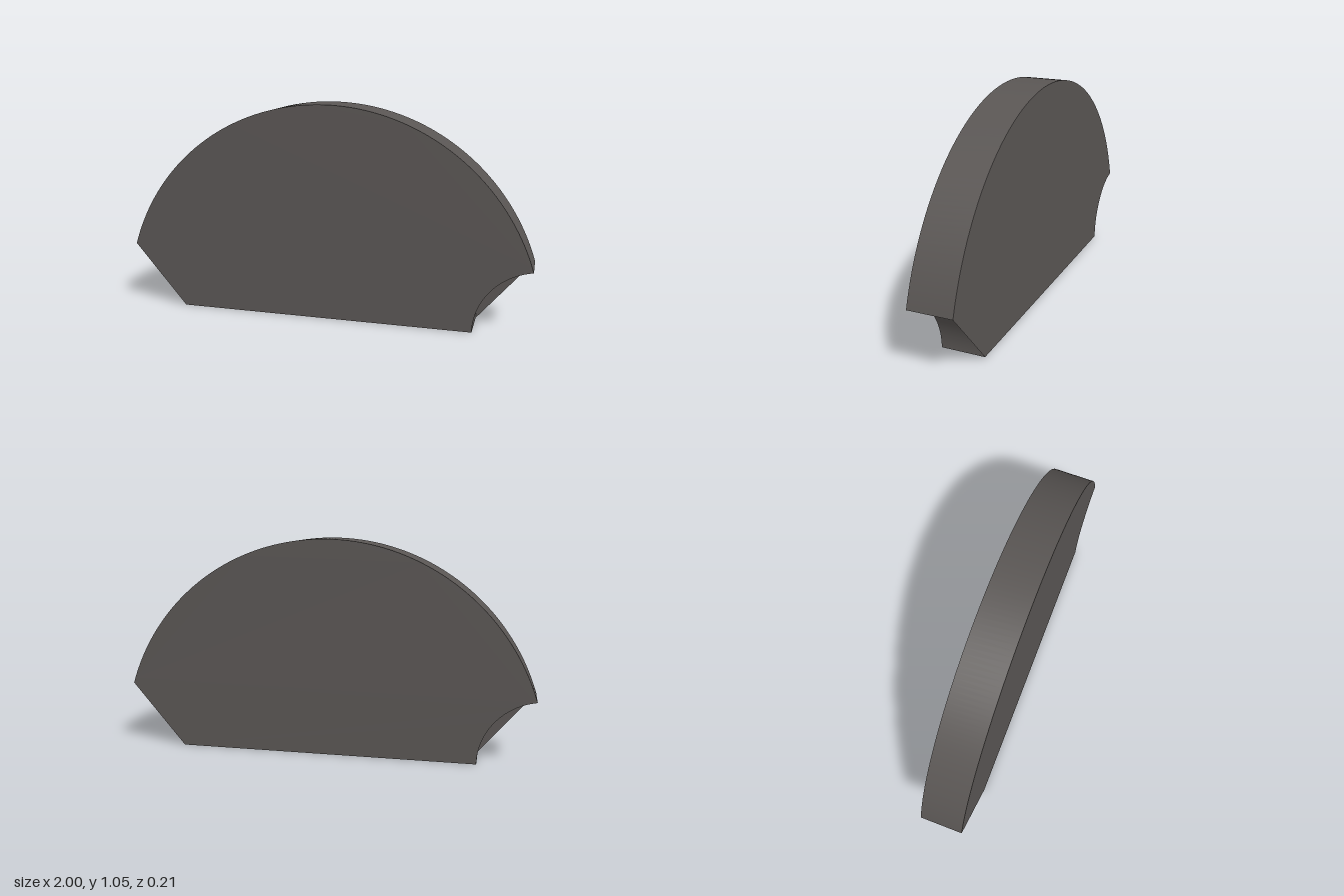
import * as THREE from 'three';
import { toCreasedNormals } from 'three/addons/utils/BufferGeometryUtils.js';

const R = 1.047;          // radius of the domed edge, centred on the base line
const r = 0.315;          // radius of the corner notches, centred on the dome circle
const DEPTH = 0.21;
const a = 2 * Math.asin(r / (2 * R));   // dome angle at which the notch begins
const top = new THREE.Vector2(R * Math.cos(a), R * Math.sin(a));
const notchAngle = Math.atan2(top.y, top.x - R);

export function createModel() {
  const group = new THREE.Group();
  group.name = 'domedPlate';
  const material = new THREE.MeshStandardMaterial({ color: 0x5a5654, side: THREE.DoubleSide });
  material.name = 'warm dark grey';

  // Half-disc slab with a round notch at each lower corner
  const outline = new THREE.Shape();
  outline.moveTo(r - R, 0);
  outline.lineTo(R - r, 0);
  outline.absarc(R, 0, r, Math.PI, notchAngle, true);
  outline.absarc(0, 0, R, a, Math.PI - a, false);
  outline.absarc(-R, 0, r, Math.PI - notchAngle, 0, true);
  const slab = new THREE.ExtrudeGeometry(outline, { depth: DEPTH, bevelEnabled: false, curveSegments: 48 });
  slab.translate(0, 0, -DEPTH / 2);
  const body = new THREE.Mesh(toCreasedNormals(slab, 0.5), material);
  body.name = 'body';
  group.add(body);

  // Thin web closing one end of each notch with a straight edge
  const segment = new THREE.Shape();
  segment.moveTo(R - r, 0);
  segment.lineTo(top.x, top.y);
  segment.absarc(R, 0, r, notchAngle, Math.PI, false);
  const webGeometry = new THREE.ShapeGeometry(segment, 48);
  webGeometry.rotateY(Math.PI);           // face outward, away from the slab
  webGeometry.translate(0, 0, DEPTH / 2);
  for (const [name, turn] of [['rightNotchWeb', 0], ['leftNotchWeb', Math.PI]]) {
    const web = new THREE.Mesh(webGeometry, material);
    web.name = name;
    web.rotation.y = turn;
    group.add(web);
  }
  return group;
}
